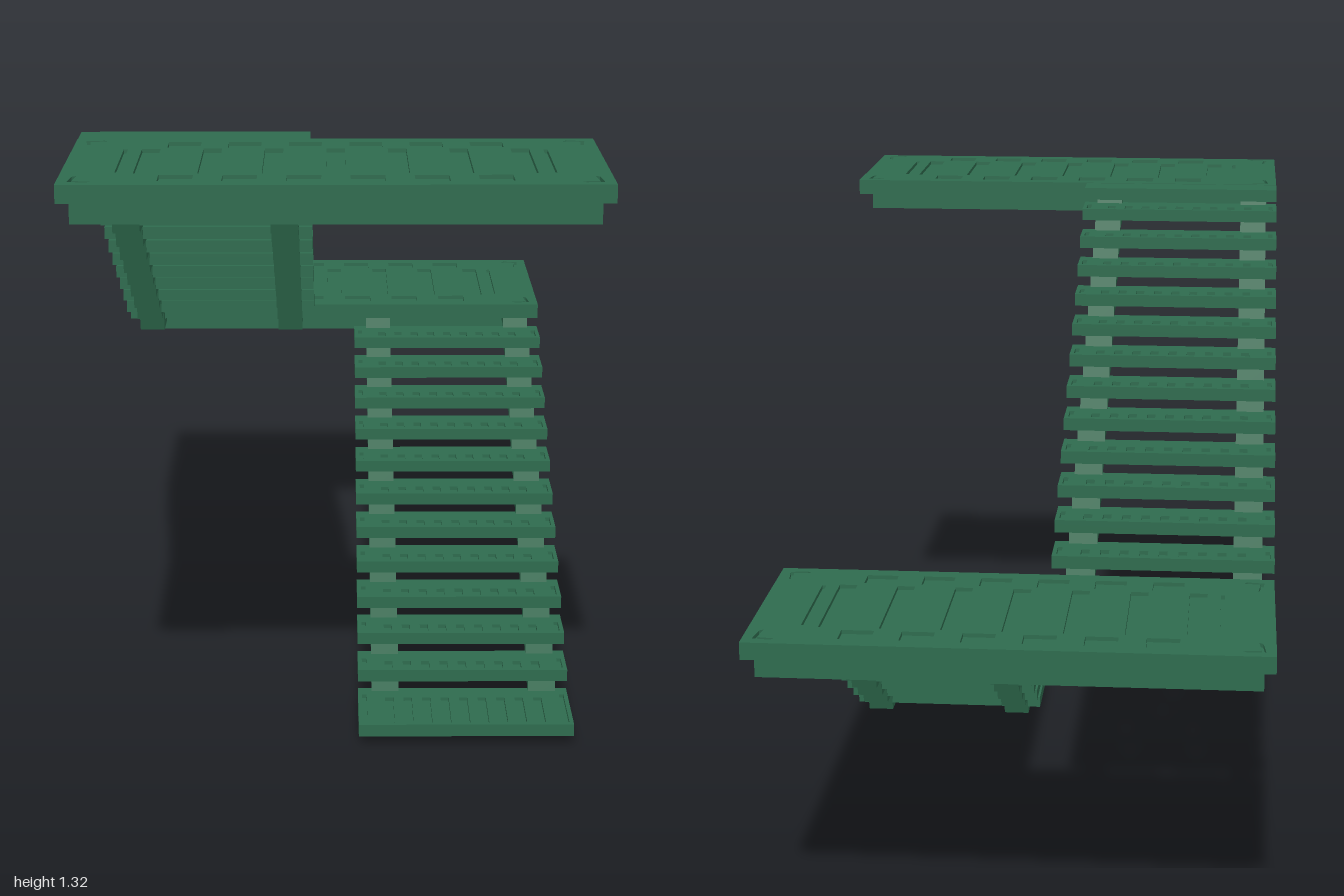
import * as THREE from 'three';

const material = new THREE.MeshStandardMaterial({ color: 0x2e6b4e, flatShading: true });
const RUN = 0.086, RISE = 0.0514, TREAD = 0.105;

function mesh(name, geometry, parent) {
  const m = new THREE.Mesh(geometry, material);
  m.name = name;
  parent.add(m);
  return m;
}

// Rectangle outline given by its corners
function rect(x0, y0, x1, y1, Type = THREE.Shape) {
  return new Type([[x0, y0], [x1, y0], [x1, y1], [x0, y1]].map(p => new THREE.Vector2(...p)));
}

// Horizontal plate: the shape's y runs towards -z, bottom at y0
function plate(name, shape, y0, y1, parent) {
  const g = new THREE.ExtrudeGeometry(shape, { depth: y1 - y0, bevelEnabled: false, curveSegments: 6 });
  g.rotateX(-Math.PI / 2).translate(0, y0, 0);
  return mesh(name, g, parent);
}

// Tread: solid base with a slotted grip layer on top
function addTread(parent, s0, s1, top, long) {
  const x0 = 0.05, x1 = 0.51;
  plate('treadBase', rect(x0, s0, x1, s1), top - 0.027, top - 0.008, parent);
  const grip = rect(x0, s0, x1, s1);
  const a = long ? s0 + 0.012 : s0 + 0.014;
  const b = long ? s1 - 0.05 : s0 + 0.048;
  for (let i = 0; i < 9; i++) {
    const x = 0.118 + i * 0.0405;
    grip.holes.push(rect(x - 0.009, a, x + 0.009, b, THREE.Path));
  }
  for (const x of [0.064, 0.496]) grip.holes.push(rect(x - 0.005, a, x + 0.005, b + 0.015, THREE.Path));
  plate('treadGrip', grip, top - 0.008, top, parent);
}

// Zigzag stringer following the steps from index k0 to k1
function addStringer(parent, s0, y0, k0, k1, x) {
  const upper = [], lower = [];
  for (let k = k0; k <= k1; k++) {
    const s = s0 + k * RUN, y = y0 + k * RISE;
    upper.push([s + 0.01, y - 0.027], [s + 0.08, y - 0.027]);
    lower.push([s + (k === k0 ? 0.01 : 0.03), y - 0.047], [s + 0.098, y - 0.047]);
  }
  const shape = new THREE.Shape([...lower, ...upper.reverse()].map(p => new THREE.Vector2(...p)));
  const g = new THREE.ExtrudeGeometry(shape, { depth: 0.06, bevelEnabled: false });
  g.rotateY(Math.PI / 2).translate(x, 0, 0);
  mesh('stringer', g, parent);
}

// Landing: slab with panelled deck and a hollow skirt below
function addLanding(parent, name, z0, z1, top, skirt0, skirt1) {
  const group = new THREE.Group();
  group.name = name;
  parent.add(group);
  const depth = z1 - z0, mid = -(z0 + z1) / 2, w = 0.51, h = depth / 2;
  plate('slab', rect(-w, -z1, w, -z0), top - 0.035, top - 0.008, group);

  // deck layer with recessed strips, pads and curved corner grooves
  const deck = rect(-w, -z1, w, -z0);
  for (let i = 0; i < 7; i++) {
    const x = (i - 3) * 0.119, l = h - 0.1;
    deck.holes.push(rect(x - 0.018, mid - l, x + 0.018, mid + l, THREE.Path));
  }
  for (let i = 0; i < 6; i++) for (const side of [-1, 1]) {
    const x = (i - 2.5) * 0.118, c = mid + side * (h - 0.06);
    deck.holes.push(rect(x - 0.032, c - 0.026, x + 0.032, c + 0.026, THREE.Path));
  }
  for (const side of [-1, 1]) {
    const line = [[0.455, h - 0.02], [0.49, h - 0.025], [0.485, h - 0.07], [0.455, h - 0.095], [0.41, h - 0.1]];
    const outer = [...line, ...line.map(([x, y]) => [x, -y]).reverse()];
    const inner = outer.map(([x, y]) => [x - 0.008, y - Math.sign(y) * 0.008]).reverse();
    deck.holes.push(new THREE.Path([...outer, ...inner].map(([x, y]) => new THREE.Vector2(side * x, mid + y))));
  }
  plate('deck', deck, top - 0.008, top, group);

  // hollow skirt with ribs under the slab
  const frame = rect(-0.488, -skirt1, 0.488, -skirt0);
  frame.holes.push(rect(-0.463, -skirt1 + 0.025, 0.463, -skirt0 - 0.025, THREE.Path));
  plate('skirt', frame, top - 0.08, top - 0.035, group);
  for (let i = 0; i < 7; i++) {
    const x = (i - 3) * 0.119;
    plate('rib', rect(x - 0.018, -skirt1 + 0.06, x + 0.018, -skirt0 - 0.06), top - 0.043, top - 0.035, group);
  }
}

// Flight climbing towards -z on the +x side
function addFlight(parent, name, s0, y0, count, k0, k1) {
  const group = new THREE.Group();
  group.name = name;
  parent.add(group);
  for (let k = 0; k < count; k++) {
    const foot = name === 'lowerFlight' && k === 0;
    const s = s0 + k * RUN;
    addTread(group, foot ? -0.57 : s, s + TREAD, y0 + k * RISE, foot);
  }
  for (const x of [0.08, 0.425]) addStringer(group, s0, y0, k0, k1, x);
  return group;
}

export function createModel() {
  const model = new THREE.Group();
  model.name = 'staircase';
  addLanding(model, 'middleLanding', -1, -0.54, 0.675, -0.972, -0.605);
  addLanding(model, 'topLanding', 0.572, 1, 1.317, 0.64, 0.972);

  addFlight(model, 'lowerFlight', -0.486, 0.047, 12, 0, 12);

  // upper flight turns back towards the front
  const upper = addFlight(model, 'upperFlight', -0.535, 0.714, 12, -1, 12);
  plate('topTread', rect(0.05, 0.495, 0.51, 0.573), 1.288, 1.316, upper);
  upper.rotation.y = Math.PI;
  return model;
}
